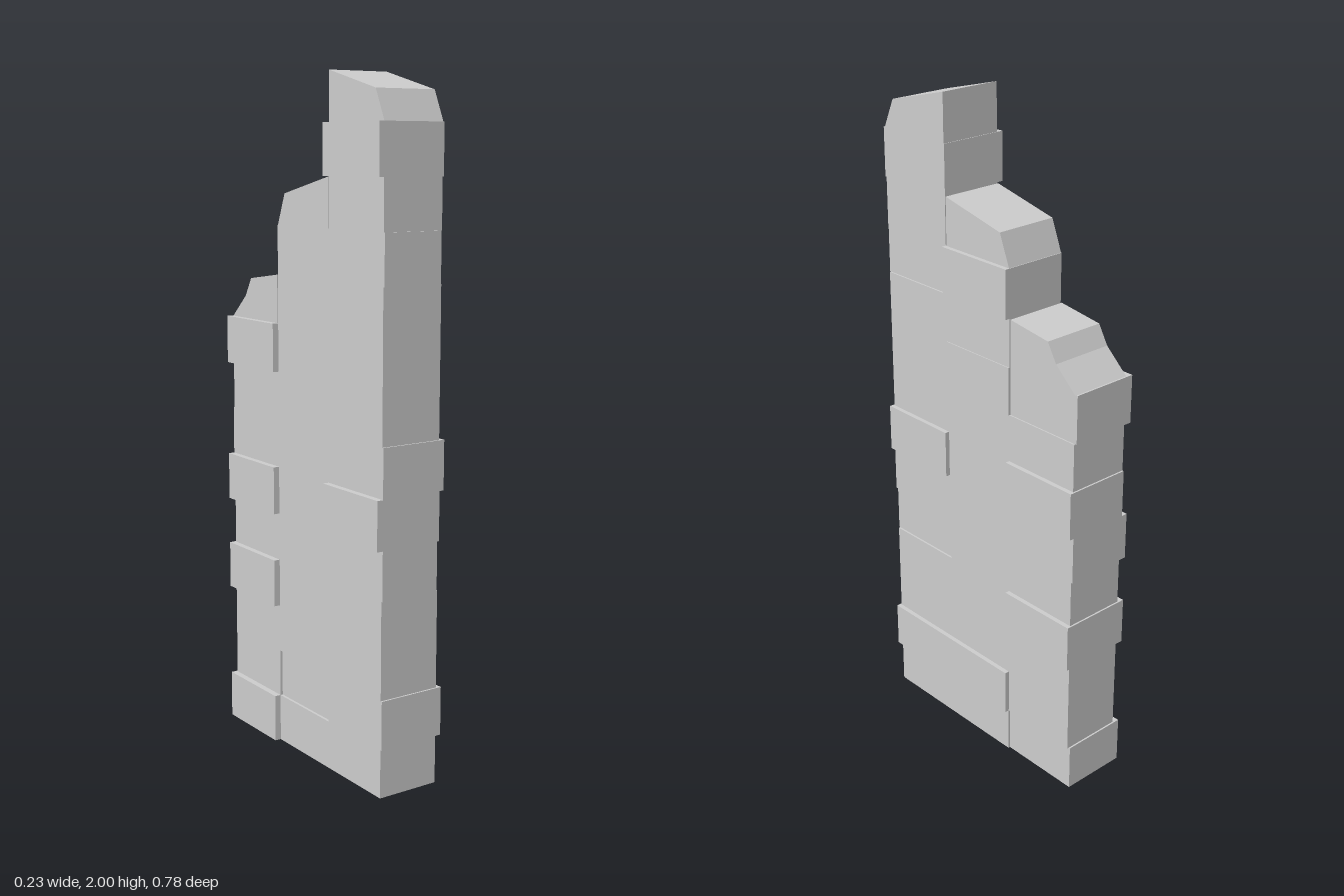
import * as THREE from 'three';

const ROW = 0.1431;                         // height of one course
const X0 = -0.096, X1 = 0.098;              // faces of the wall
const COLUMNS = [                           // front, middle, back
  { z0: 0.133, z1: 0.389, rows: 13 },
  { z0: -0.128, z1: 0.133, rows: 11 },
  { z0: -0.384, z1: -0.128, rows: 9 },
];

// bricks standing out (or set in) on either face: 'column,row': [left offset, right offset]
const OUT = 0.014;
const OFFSETS = {
  '0,1': [0, OUT], '0,4': [0, -0.006], '0,5': [-0.019, 0], '0,6': [0, OUT],
  '0,10': [0, -0.005], '0,12': [-0.019, 0],
  '1,1': [0.008, OUT], '1,8': [0, 0.003], '1,10': [0, OUT],
  '2,0': [-0.019, -0.006], '2,3': [-0.019, OUT], '2,5': [-0.019, 0],
  '2,6': [0, OUT], '2,8': [-0.019, -0.004],
};

// broken top stones as side profiles (z, y)
const CAPS = [
  [[0.389, 1.86], [0.35, 1.945], [0.135, 2.0], [0.135, 1.86]],
  [[0.13, 1.574], [0.13, 1.715], [-0.09, 1.665], [-0.126, 1.574]],
  [[-0.132, 1.288], [-0.132, 1.43], [-0.278, 1.41], [-0.31, 1.355], [-0.384, 1.288]],
];

export function createModel() {
  const wall = new THREE.Group();
  wall.name = 'ruinedWall';
  const stone = new THREE.MeshStandardMaterial({ color: 0xcccccc, flatShading: true });

  COLUMNS.forEach(({ z0, z1, rows }, c) => {
    const column = new THREE.Group();
    column.name = ['frontColumn', 'middleColumn', 'backColumn'][c];
    wall.add(column);

    // stacked bricks
    for (let r = 0; r < rows; r++) {
      const [left, right] = OFFSETS[`${c},${r}`] ?? [0, 0];
      const a = X0 + left, b = X1 + right;
      // standing-out bricks also reach a touch past the ends of the wall
      const grow = left || right ? 0.005 : 0;
      const front = z1 + (c === 0 ? grow : 0), back = z0 - (c === 2 ? grow : 0);
      const brick = new THREE.Mesh(new THREE.BoxGeometry(b - a, ROW, front - back), stone);
      brick.position.set((a + b) / 2, (r + 0.5) * ROW, (front + back) / 2);
      brick.name = 'brick';
      column.add(brick);
    }

    // broken top stone
    const profile = new THREE.Shape(CAPS[c].map(([z, y]) => new THREE.Vector2(z, y)));
    const geometry = new THREE.ExtrudeGeometry(profile, { depth: X1 - X0, bevelEnabled: false });
    geometry.rotateY(-Math.PI / 2).translate(X1, 0, 0);
    const cap = new THREE.Mesh(geometry, stone);
    cap.name = 'brokenTopStone';
    column.add(cap);
  });
  return wall;
}
